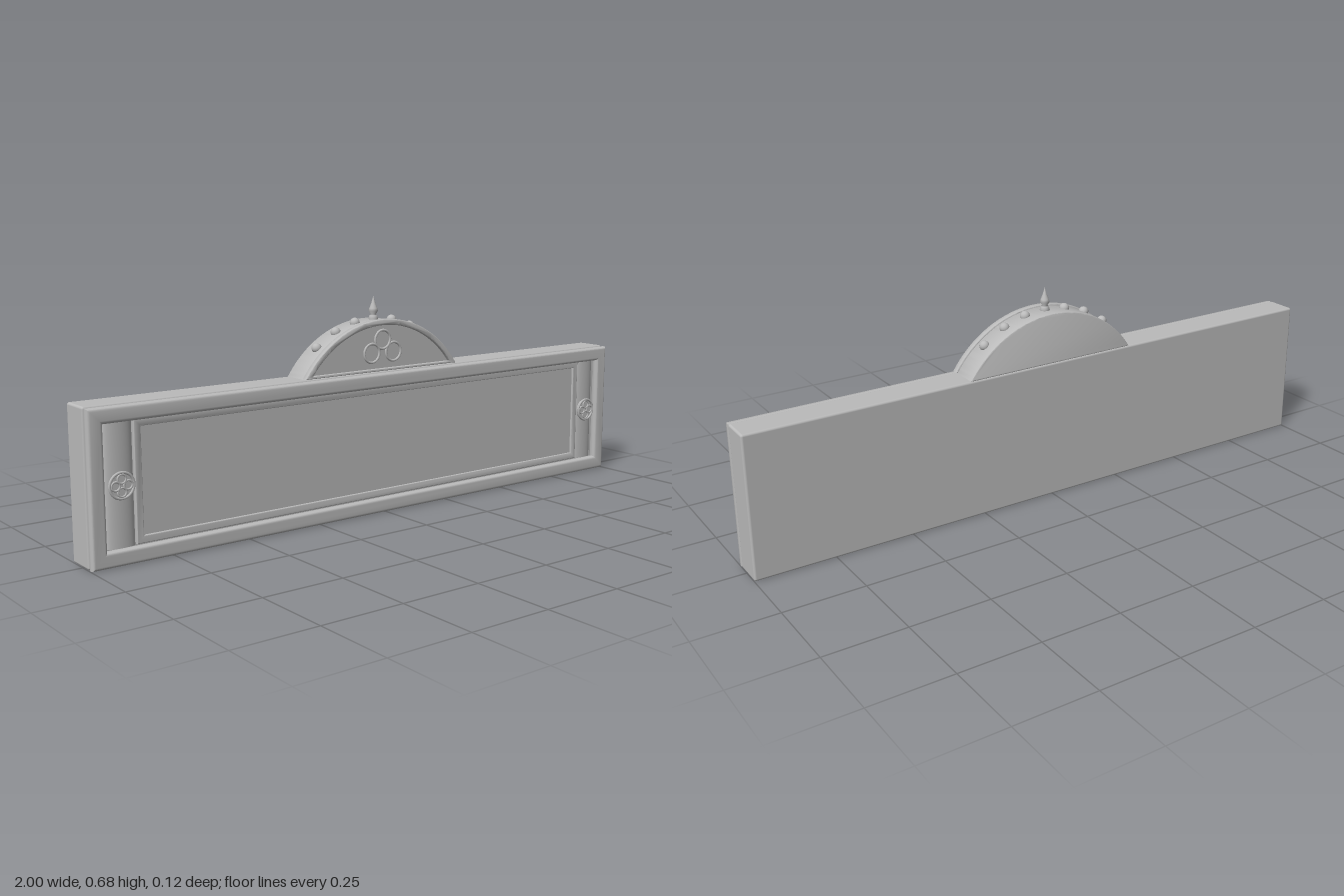
import * as THREE from 'three';
import { toCreasedNormals } from 'three/addons/utils/BufferGeometryUtils.js';
import { RoundedBoxGeometry } from 'three/addons/geometries/RoundedBoxGeometry.js';

const stone = new THREE.MeshStandardMaterial({ color: 0xbababa });
stone.name = 'grey stone';

const BALL_Z = -0.012;
const ARC_Y = 0.258, ARC_R = 0.346; // circle that the crest is cut from

function add(parent, name, geometry, x = 0, y = 0, z = 0) {
  const mesh = new THREE.Mesh(geometry, stone);
  mesh.name = name;
  mesh.position.set(x, y, z);
  parent.add(mesh);
  return mesh;
}

function rectangle(path, x, y0, y1) {
  path.moveTo(-x, y0);
  path.lineTo(x, y0);
  path.lineTo(x, y1);
  path.lineTo(-x, y1);
  path.closePath();
  return path;
}

// Circular segment above the level y
function segment(path, radius, y) {
  const a = Math.asin((y - ARC_Y) / radius);
  path.absarc(0, ARC_Y, radius, a, Math.PI - a, false);
  path.closePath();
  return path;
}

// Extrusion from z0 to z1 with rounded edges inside the outline
function slab(shape, z0, z1, bevel) {
  const geometry = new THREE.ExtrudeGeometry(shape, {
    depth: z1 - z0 - 2 * bevel, bevelEnabled: bevel > 0, bevelThickness: bevel,
    bevelSize: bevel, bevelOffset: -bevel, bevelSegments: 4, curveSegments: 40,
  });
  geometry.translate(0, 0, z0 + bevel);
  return toCreasedNormals(geometry, 0.6);
}

function frame(x, y0, y1, width, z0, z1, bevel) {
  const shape = rectangle(new THREE.Shape(), x, y0, y1);
  shape.holes.push(rectangle(new THREE.Path(), x - width, y0 + width, y1 - width));
  return slab(shape, z0, z1, bevel);
}

// Round badge with a rim and four small rings
function rosette(x) {
  const group = new THREE.Group();
  group.name = 'rosette';
  group.position.set(x, 0.226, 0.052);
  const disc = add(group, 'rosetteDisc', new THREE.CylinderGeometry(0.036, 0.036, 0.008, 32));
  disc.rotation.x = Math.PI / 2;
  add(group, 'rosetteRim', new THREE.TorusGeometry(0.036, 0.004, 8, 36), 0, 0, 0.004);
  for (let i = 0; i < 4; i++) {
    const a = i * Math.PI / 2;
    add(group, 'rosettePetal', new THREE.TorusGeometry(0.0125, 0.003, 8, 20),
      0.0185 * Math.cos(a), 0.0185 * Math.sin(a), 0.005);
  }
  return group;
}

export function createModel() {
  const model = new THREE.Group();
  model.name = 'plaque';

  // Backing block and the raised outer frame
  add(model, 'backingBlock', new RoundedBoxGeometry(2, 0.445, 0.097, 3, 0.007), 0, 0.2245, -0.0125);
  add(model, 'outerFrame', frame(0.999, 0.003, 0.444, 0.046, 0.034, 0.061, 0.01));

  // Recessed field with a thin border
  add(model, 'fieldPanel', new THREE.BoxGeometry(1.7, 0.32, 0.012), 0, 0.226, 0.039);
  add(model, 'fieldBorder', frame(0.862, 0.054, 0.402, 0.022, 0.034, 0.052, 0.003));

  // Shallow rounded pilasters with rosettes at both ends
  for (const side of [-1, 1]) {
    const pilaster = add(model, 'pilaster',
      new THREE.CylinderGeometry(0.043, 0.043, 0.352, 32, 1, false, -Math.PI / 2, Math.PI),
      side * 0.904, 0.227, 0.035);
    pilaster.scale.z = 0.35;
    model.add(rosette(side * 0.904));
  }

  // Arched crest with a rim in front
  const crest = new THREE.Group();
  crest.name = 'crest';
  model.add(crest);
  add(crest, 'crestBlock', slab(segment(new THREE.Shape(), ARC_R + 0.001, 0.446), -0.06, 0.025, 0.004));
  const rim = segment(new THREE.Shape(), ARC_R + 0.005, 0.449);
  rim.holes.push(segment(new THREE.Path(), ARC_R - 0.013, 0.457));
  add(crest, 'crestRim', slab(rim, 0.024, 0.045, 0.004));
  add(crest, 'crestFace', slab(segment(new THREE.Shape(), ARC_R - 0.008, 0.452), 0.022, 0.034, 0));

  // Three linked rings on the crest
  for (const [x, y] of [[0, 0.546], [-0.042, 0.506], [0.042, 0.506]]) {
    add(crest, 'crestRing', new THREE.TorusGeometry(0.029, 0.004, 8, 36), x, y, 0.035);
  }

  // Beads along the arch
  for (const x of [0.072, 0.145, 0.216]) {
    const y = ARC_Y + Math.sqrt((ARC_R + 0.004) ** 2 - x * x);
    for (const side of [-1, 1]) {
      add(crest, 'bead', new THREE.SphereGeometry(0.0155, 20, 14), side * x, y - 0.002, BALL_Z);
    }
  }

  // Pointed finial on a ball
  const profile = [[0, 0.595], [0.012, 0.597], [0.0155, 0.607], [0.012, 0.617], [0.008, 0.62],
    [0.015, 0.631], [0.0125, 0.639], [0.006, 0.656], [0, 0.677]];
  add(crest, 'finial', new THREE.LatheGeometry(profile.map(([r, y]) => new THREE.Vector2(r, y)), 20), 0, 0, BALL_Z);

  return model;
}
